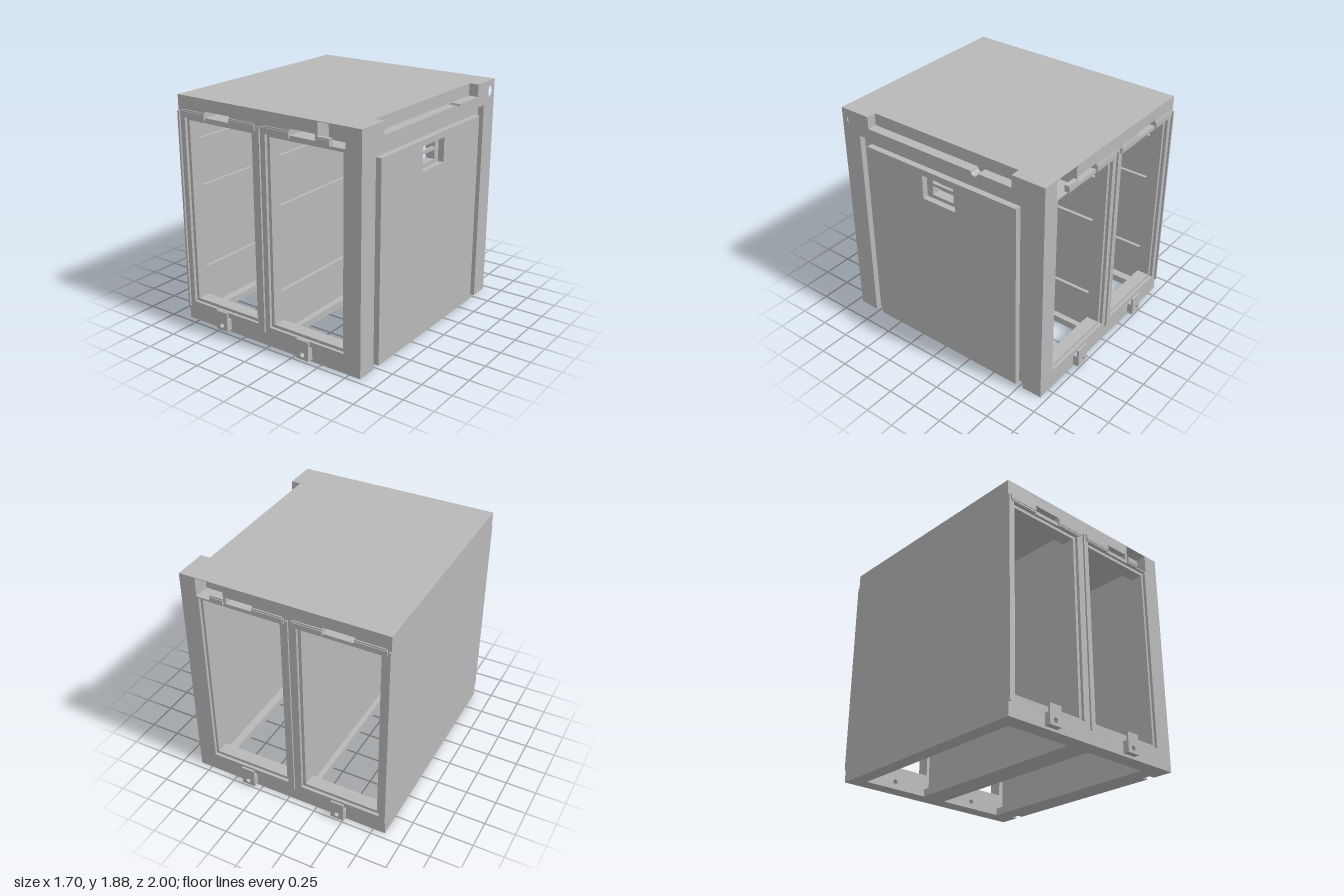
import * as THREE from 'three';

const grey = new THREE.MeshStandardMaterial({ color: 0xb8b8b8 });
grey.name = 'grey metal';

// Closed outline from corner points
function outline(points) {
  return new THREE.Shape(points.map(([x, y]) => new THREE.Vector2(x, y)));
}

function rect(x0, x1, y0, y1) {
  return outline([[x0, y0], [x1, y0], [x1, y1], [x0, y1]]);
}

function circle(x, y, r) {
  const path = new THREE.Path();
  path.absarc(x, y, r, 0, Math.PI * 2, true);
  return path;
}

export function createModel() {
  const model = new THREE.Group();
  model.name = 'cabinet';

  function add(name, geometry) {
    const mesh = new THREE.Mesh(geometry, grey);
    mesh.name = name;
    model.add(mesh);
    return mesh;
  }

  function box(name, x0, x1, y0, y1, z0, z1) {
    const mesh = add(name, new THREE.BoxGeometry(x1 - x0, y1 - y0, z1 - z0));
    mesh.position.set((x0 + x1) / 2, (y0 + y1) / 2, (z0 + z1) / 2);
  }

  function extrude(shape, depth) {
    return new THREE.ExtrudeGeometry(shape, { depth, bevelEnabled: false, curveSegments: 12 });
  }

  // Slab facing sideways: shape x runs along -z
  function sideSlab(name, shape, x0, x1, holes = []) {
    shape.holes.push(...holes);
    const g = extrude(shape, x1 - x0).rotateY(Math.PI / 2).translate(x0, 0, 0);
    add(name, g);
  }

  // Shell: roof, left wall and partition
  box('roof', -0.85, 0.72, 1.8, 1.88, -0.82, 0.82);
  box('leftWall', -0.85, -0.8, 0, 1.8, -0.82, 0.82);
  box('partition', -0.115, 0, 0.06, 1.8, -0.82, 0.82);

  // Open floor made of three beams
  for (const [x0, x1] of [[-0.8, -0.73], [-0.16, 0.05], [0.65, 0.72]]) {
    box('floorBeam', x0, x1, 0, 0.06, -0.82, 0.82);
  }

  // Shelf rails on the walls facing left
  for (const x of [-0.8, 0]) {
    for (const y of [0.41, 1.11, 1.5]) box('rail', x, x + 0.027, y - 0.015, y + 0.015, -0.82, 0.82);
  }

  // Right wall top edge, with a notch and a half-round groove in it
  const notchTop = new THREE.Shape();
  notchTop.moveTo(-0.95, 0);
  notchTop.lineTo(-0.95, 1.88);
  notchTop.lineTo(-0.68, 1.88);
  notchTop.lineTo(-0.68, 1.78);
  notchTop.lineTo(0.312, 1.78);
  notchTop.absarc(0.345, 1.78, 0.033, Math.PI, Math.PI * 2, false);
  notchTop.lineTo(0.67, 1.78);
  notchTop.lineTo(0.67, 1.88);
  notchTop.lineTo(0.95, 1.88);
  notchTop.lineTo(0.95, 0);

  // Outer frame is the same edge, with the panel recess cut from below
  const frame = notchTop.clone();
  frame.lineTo(0.78, 0);
  frame.lineTo(0.78, 1.69);
  frame.lineTo(-0.78, 1.69);
  frame.lineTo(-0.78, 0);

  const bolts = (r) => [circle(-0.86, 1.79, r), circle(0.86, 1.79, r)];
  const gripHole = () => rect(-0.1, 0.1, 1.4, 1.54);
  sideSlab('sideFrame', frame, 0.8, 0.85, bolts(0.042));
  sideSlab('sideWallMiddle', notchTop, 0.77, 0.8, [...bolts(0.025), gripHole()]);
  sideSlab('sideWallInner', rect(-0.95, 0.95, 0, 1.88), 0.72, 0.77, [...bolts(0.025), gripHole()]);
  sideSlab('sidePanel', rect(-0.71, 0.71, 0, 1.62), 0.8, 0.85, [rect(-0.155, 0.155, 1.37, 1.57)]);
  box('gripBar', 0.775, 0.8, 1.475, 1.5, -0.1, 0.1);

  // Front and back faces are alike, mirrored in z
  const bays = [
    { outer: [-0.79, -0.115], inner: [-0.765, -0.14], slot: [-0.575, -0.33], bar: [-0.81, -0.095], tab: -0.455 },
    { outer: [0.005, 0.7], inner: [0.03, 0.68], slot: [0.235, 0.46], bar: [-0.01, 0.59], tab: 0.355 },
  ];

  for (const side of [1, -1]) {
    const end = side > 0 ? 'front' : 'back';

    const plate = (name, shape, z0, z1, holes = []) => {
      shape.holes.push(...holes);
      add(end + name, extrude(shape, z1 - z0)).position.z = side > 0 ? z0 : -z1;
    };
    const block = (name, x0, x1, y0, y1, z0, z1) =>
      box(end + name, x0, x1, y0, y1, side > 0 ? z0 : -z1, side > 0 ? z1 : -z0);

    // Face frame: wide openings outside, narrower seal behind
    const wallHoles = (key, y0, y1) => [
      rect(0.48, 0.715, 1.72, 1.875),
      ...bays.flatMap((b) => [
        rect(b[key][0], b[key][1], y0, y1),
        rect(b.slot[0], b.slot[1], 1.735, 1.785),
        circle(b.tab, 0.06, 0.02),
      ]),
    ];
    plate('Face', rect(-0.85, 0.72, 0, 1.88), 0.925, 0.95, wallHoles('outer', 0.16, 1.71));
    plate('Seal', rect(-0.85, 0.72, 0, 1.88), 0.82, 0.925, wallHoles('inner', 0.185, 1.685));
    block('PocketBack', 0.46, 0.72, 1.71, 1.8, 0.8, 0.82);

    // Upright trim strips
    for (const x of [-0.85, -0.055]) block('Strip', x, x + 0.016, 0.11, 1.755, 0.95, 0.965);

    for (const { slot, bar, tab } of bays) {
      // Door rod in two lengths either side of the slot, with end caps
      const gapEnd = slot[1] > 0 ? 0.48 : slot[1];
      for (const [x0, x1] of [[bar[0], slot[0]], [gapEnd, bar[1]]]) {
        block('Rod', x0, x1, 1.712, 1.772, 0.925, 0.96);
        block('RodRib', x0, x1, 1.725, 1.76, 0.96, 0.966);
      }
      block('RodCap', bar[0] - 0.012, bar[0], 1.722, 1.764, 0.94, 0.963);
      if (bar[1] < 0) block('RodCap', bar[1], bar[1] + 0.012, 1.722, 1.764, 0.94, 0.963);
      block('SlotSill', slot[0], slot[1], 1.705, 1.735, 0.94, 0.952);

      // Latch tab with a bolt hole
      const hole = () => [circle(tab, 0.06, 0.02)];
      plate('LatchBase', rect(tab - 0.057, tab + 0.057, 0.02, 0.115), 0.95, 0.983, hole());
      plate('LatchTab', rect(tab - 0.057, tab + 0.057, 0.02, 0.18), 0.983, 1, hole());
    }
  }
  return model;
}
